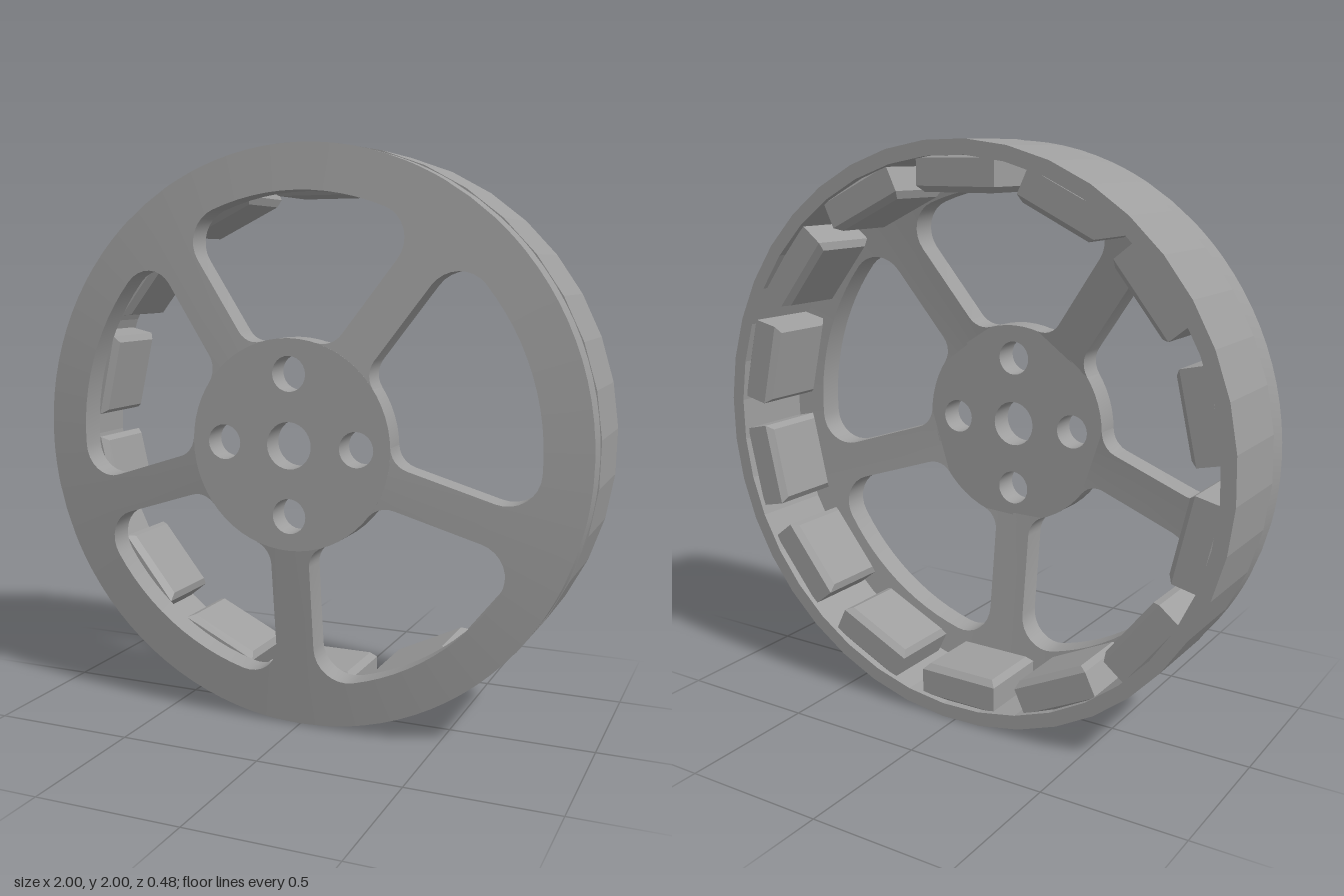
import * as THREE from 'three';
import { toCreasedNormals } from 'three/addons/utils/BufferGeometryUtils.js';

const HUB = 0.358, WINDOW = 0.84, RIM = 0.995, SLOPE = 0.127, HALF = Math.PI / 5;
const FRONT = 0.24, THICK = 0.09;

// points along an arc
function arc(cx, cy, r, from, to, n) {
  const pts = [];
  for (let i = 0; i <= n; i++) {
    const a = from + (to - from) * i / n;
    pts.push(new THREE.Vector2(cx + r * Math.cos(a), cy + r * Math.sin(a)));
  }
  return pts;
}
const circle = (r, n, cx = 0, cy = 0, phase = 0) =>
  arc(cx, cy, r, phase, phase + Math.PI * 2, n).slice(0, -1);

// flat plate with holes, from z to z + depth
function plate(outline, holes, z, depth) {
  const shape = new THREE.Shape(outline);
  shape.holes = holes.map(h => new THREE.Path(h));
  return new THREE.ExtrudeGeometry(shape, { depth, bevelEnabled: false }).translate(0, 0, z);
}

// half a spoke with its share of the rim, as pairs [window edge, spoke axis or rim edge]
function halfSpoke() {
  const y = 0.07, fi = 0.08, fo = 0.11;
  const ri = HUB + fi, ro = WINDOW - fo;
  const ai = Math.asin((y + fi) / ri), ao = Math.asin((y + fo) / ro);
  const toAxis = b => [b, new THREE.Vector2(b.x, 0)];
  const toRim = b => [b, b.clone().setLength(RIM)];
  const innerFillet = arc(ri * Math.cos(ai), y + fi, fi, Math.PI + ai, Math.PI * 1.5, 6);
  const outerEdge = [
    ...arc(ro * Math.cos(ao), y + fo, fo, -Math.PI / 2, ao, 8),
    ...arc(0, 0, WINDOW, ao, HALF, 6).slice(1),
  ];
  const corner = outerEdge[0];
  return [...innerFillet.map(toAxis), toAxis(corner),
    [corner, new THREE.Vector2(RIM, 0)], ...outerEdge.map(toRim)];
}

// five spokes and the rim, sloping back from the hub
function spokesAndRim() {
  const pos = [];
  const pairs = halfSpoke();
  for (let s = 0; s < 5; s++) {
    const turn = -Math.PI / 2 + s * 2 * HALF;
    for (const side of [1, -1]) {
      const place = (p, drop) => {
        const q = new THREE.Vector2(p.x, p.y * side).rotateAround(new THREE.Vector2(), turn);
        return [q.x, q.y, FRONT - drop - SLOPE * Math.max(0, p.length() - HUB)];
      };
      const quad = (...c) => {
        const [a, b, d, e] = side > 0 ? c : c.reverse();
        pos.push(...a, ...b, ...d, ...a, ...d, ...e);
      };
      for (let i = 0; i + 1 < pairs.length; i++) {
        const [b0, p0] = pairs[i], [b1, p1] = pairs[i + 1];
        const f = p => place(p, 0), k = p => place(p, THICK);
        quad(f(p0), f(p1), f(b1), f(b0));
        quad(k(b0), k(b1), k(p1), k(p0));
        quad(k(b0), f(b0), f(b1), k(b1));
        if (p0.length() > RIM - 0.001) quad(k(p0), k(p1), f(p1), f(p0));
      }
    }
  }
  const raw = new THREE.BufferGeometry();
  raw.setAttribute('position', new THREE.Float32BufferAttribute(pos, 3));
  const geometry = toCreasedNormals(raw, 0.5);
  // exact cone normals on the front and back faces
  const p = geometry.attributes.position, n = geometry.attributes.normal;
  const v = new THREE.Vector3();
  for (let i = 0; i < p.count; i++) {
    if (Math.abs(n.getZ(i)) < 0.7) continue;
    v.set(p.getX(i), p.getY(i), 0).setLength(SLOPE).setZ(1).normalize();
    v.multiplyScalar(Math.sign(n.getZ(i)));
    n.setXYZ(i, v.x, v.y, v.z);
  }
  return geometry;
}

export function createModel() {
  const model = new THREE.Group();
  const wheel = new THREE.Group();
  wheel.name = 'wheel';
  wheel.position.y = 1;
  model.add(wheel);
  const material = new THREE.MeshStandardMaterial({ color: 0x9e9e9e });
  const add = (name, geometry) => {
    const mesh = new THREE.Mesh(geometry, material);
    mesh.name = name;
    wheel.add(mesh);
    return mesh;
  };

  // faceted outer ring
  const phase = Math.PI / 60;
  add('outerRing', toCreasedNormals(
    plate(circle(1, 40, 0, 0, phase), [circle(0.95, 40, 0, 0, phase)], -0.24, 0.31), 0.1));

  // flat hub with a shaft hole and four bolt holes
  const holes = [circle(0.08, 28)];
  for (let i = 0; i < 4; i++) {
    const a = i * Math.PI / 2;
    holes.push(circle(0.06, 24, 0.24 * Math.cos(a), 0.24 * Math.sin(a)));
  }
  add('hub', toCreasedNormals(plate(circle(HUB, 60), holes, FRONT - THICK, THICK), 0.5));

  add('spokesAndRim', spokesAndRim());

  // fourteen chamfered magnets lining the ring
  const w = 0.13, l = 0.115, bevel = 0.02;
  const face = new THREE.Shape([[-w, -l], [w, -l], [w, l], [-w, l]].map(c => new THREE.Vector2(...c)));
  const magnet = new THREE.ExtrudeGeometry(face, {
    depth: 0.09, bevelThickness: bevel, bevelSize: bevel, bevelSegments: 1,
  }).rotateX(-Math.PI / 2).translate(0, 0.83 + bevel, -0.085);
  for (let i = 0; i < 14; i++) add('magnet', magnet).rotation.z = i * Math.PI / 7;
  return model;
}
